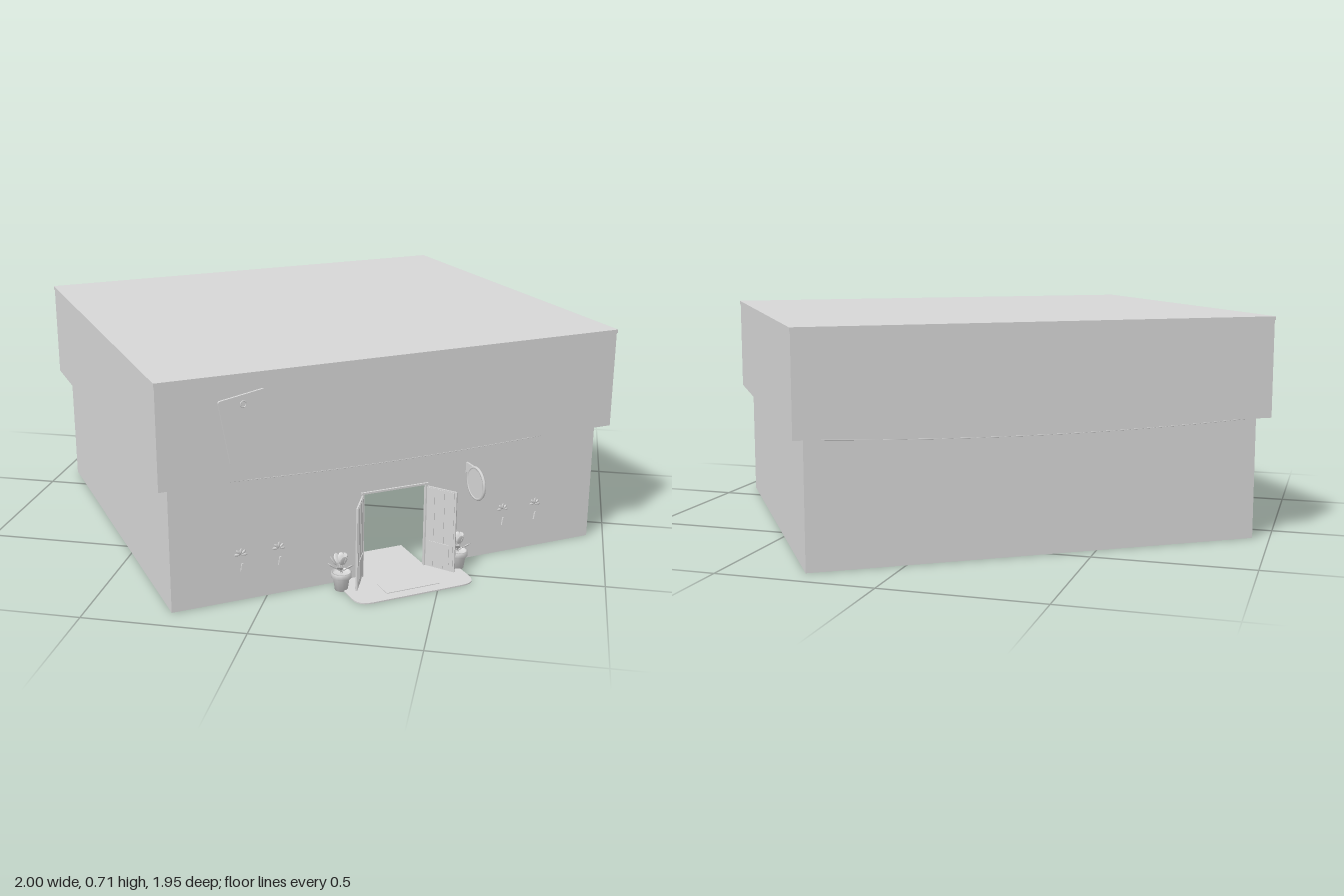
import * as THREE from 'three';

export function createModel() {
  // The whole building shares one plain light grey
  const grey = new THREE.MeshStandardMaterial({ color: 0xd6d6d6, side: THREE.DoubleSide });
  grey.name = 'plain light grey';

  const root = new THREE.Group();
  root.name = 'shop';
  root.rotation.y = THREE.MathUtils.degToRad(34);

  const add = (parent, name, geo, x = 0, y = 0, z = 0) => {
    const m = new THREE.Mesh(geo, grey);
    m.name = name;
    m.position.set(x, y, z);
    parent.add(m);
    return m;
  };
  const group = (parent, name, x = 0, y = 0, z = 0) => {
    const g = new THREE.Group();
    g.name = name;
    g.position.set(x, y, z);
    parent.add(g);
    return g;
  };
  const box = (w, h, d) => new THREE.BoxGeometry(w, h, d);

  // Half sizes of the lower and upper storeys, and key heights
  const LX = 0.72, LZ = 0.625, UX = 0.755, UZ = 0.66;
  const BAND = 0.395, TOP = 0.715, ROOF = 0.011, DOOR = 0.28, DW = 0.108;

  // Upper storey: open shell under a thin roof
  const shell = group(root, 'upperStorey');
  // Sides in order front, left, back, right; half width and distance of each storey
  const sides = [0, 1, 2, 3].map(i => (i % 2
    ? { w: UZ, d: UX, lw: LZ, ld: LX, r: i * Math.PI / 2 }
    : { w: UX, d: UZ, lw: LX, ld: LZ, r: i * Math.PI / 2 }));
  sides.forEach((s, i) => {
    const height = TOP - ROOF - BAND;
    const upper = new THREE.PlaneGeometry(s.w * 2, height);
    upper.translate(0, BAND + height / 2, s.d).rotateY(s.r);
    add(shell, 'upperWall', upper);

    // Flat soffit with mitred corners under the overhang
    const soffit = new THREE.Shape([[-s.w, -s.d], [s.w, -s.d], [s.lw, -s.ld], [-s.lw, -s.ld]]
      .map(q => new THREE.Vector2(...q)));
    const soffitGeo = new THREE.ShapeGeometry(soffit);
    soffitGeo.rotateX(-Math.PI / 2).translate(0, BAND, 0).rotateY(s.r);
    add(shell, 'soffit', soffitGeo);

    // Thin cord sagging along the top of the lower wall
    const sag = new THREE.QuadraticBezierCurve3(
      new THREE.Vector3(-s.lw, BAND - 0.003, s.ld + 0.002),
      new THREE.Vector3(0, BAND - 0.045, s.ld + 0.002),
      new THREE.Vector3(s.lw, BAND - 0.003, s.ld + 0.002));
    add(shell, 'saggingCord', new THREE.TubeGeometry(sag, 24, 0.0012, 4).rotateY(s.r));

    // Lower wall; the front one is notched for the doorway
    const shape = new THREE.Shape();
    shape.moveTo(-s.lw, 0);
    if (i === 0) {
      shape.lineTo(-DW, 0);
      shape.lineTo(-DW, DOOR);
      shape.lineTo(DW, DOOR);
      shape.lineTo(DW, 0);
    }
    shape.lineTo(s.lw, 0);
    shape.lineTo(s.lw, BAND);
    shape.lineTo(-s.lw, BAND);
    const lower = new THREE.ShapeGeometry(shape);
    lower.translate(0, 0, s.ld).rotateY(s.r);
    add(root, 'lowerWall', lower);
  });
  add(shell, 'roof', box(UX * 2 + 0.005, ROOF, UZ * 2 + 0.005), 0, TOP - ROOF / 2);

  // Rounded plate helper, extruded along z
  const plate = (w, h, r, depth) => {
    const s = new THREE.Shape(), a = w / 2, b = h / 2;
    s.moveTo(-a + r, -b);
    s.lineTo(a - r, -b);
    s.quadraticCurveTo(a, -b, a, -b + r);
    s.lineTo(a, b - r);
    s.quadraticCurveTo(a, b, a - r, b);
    s.lineTo(-a + r, b);
    s.quadraticCurveTo(-a, b, -a, b - r);
    s.lineTo(-a, -b + r);
    s.quadraticCurveTo(-a, -b, -a + r, -b);
    return new THREE.ExtrudeGeometry(s, { depth, bevelEnabled: false, curveSegments: 6 });
  };

  // Tilted tag hanging on the upper wall
  const tag = group(root, 'hangingTag', -0.49, 0.557, UZ + 0.004);
  tag.rotation.z = 0.175;
  add(tag, 'tagPlate', plate(0.143, 0.198, 0.008, 0.007));
  add(tag, 'tagEyelet', new THREE.TorusGeometry(0.009, 0.002, 6, 16), 0, 0.072, 0.008);

  // Paving outside, threshold inside and a doormat
  add(root, 'paving', plate(0.4, 0.175, 0.05, 0.004).rotateX(-Math.PI / 2), 0, 0, LZ + 0.0875);
  add(root, 'threshold', box(DW * 2, 0.004, 0.16), 0, 0.002, LZ - 0.08);
  add(root, 'doormat', box(0.18, 0.002, 0.07), 0, 0.005, LZ + 0.105);

  // Door frame
  add(root, 'doorLintel', box(DW * 2 + 0.012, 0.006, 0.012), 0, DOOR, LZ);
  for (const s of [-1, 1]) {
    add(root, 'doorJamb', box(0.006, DOOR, 0.012), s * DW, DOOR / 2, LZ);

    // Door leaf swung outwards, with strips and a kick plate on both faces
    const door = group(root, 'doorLeaf', s * DW, 0.005, LZ);
    door.rotation.y = -s * THREE.MathUtils.degToRad(56);
    add(door, 'doorPanel', box(0.108, 0.268, 0.005), s * 0.054, 0.134);
    for (const face of [-1, 1]) {
      for (let i = 0; i < 3; i++)
        add(door, 'doorStrip', box(0.027, 0.26, 0.002), s * (0.02 + i * 0.034), 0.134, face * 0.003);
      add(door, 'kickPlate', box(0.07, 0.065, 0.004), s * 0.054, 0.055, face * 0.004);
    }

    // Potted plant beside the door
    const pot = group(root, 'pottedPlant', s * 0.2, 0, 0.675);
    const profile = [[0, 0], [0.02, 0], [0.026, 0.042], [0.032, 0.042], [0.032, 0.058], [0.027, 0.058], [0.026, 0.05], [0, 0.05]]
      .map(q => new THREE.Vector2(...q));
    add(pot, 'pot', new THREE.LatheGeometry(profile, 14));
    for (let i = 0; i < 10; i++) {
      const leaf = new THREE.SphereGeometry(0.5, 7, 5);
      leaf.scale(0.024, 0.034, 0.005).translate(0, 0.043, 0);
      leaf.rotateX(0.3 + (i % 3) * 0.3).rotateY(i * 2.4);
      add(pot, 'leaf', leaf, 0, 0.058, 0);
      const stalk = new THREE.CylinderGeometry(0.0015, 0.0015, 0.04, 4);
      stalk.translate(0, 0.014, 0).rotateX(0.3 + (i % 3) * 0.3).rotateY(i * 2.4);
      add(pot, 'stalk', stalk, 0, 0.058, 0);
    }

    // Small sprigs on the wall
    for (const x of [0.385, 0.505]) {
      const sprig = group(root, 'wallSprig', s * x, 0.15, LZ + 0.005);
      for (let i = 0; i < 5; i++) {
        const petal = new THREE.SphereGeometry(0.5, 6, 4);
        petal.scale(0.02, 0.009, 0.006).translate(0.011, 0, 0).rotateZ(i * 0.8 - 0.1);
        add(sprig, 'petal', petal);
      }
      const stem = add(sprig, 'stem', box(0.005, 0.026, 0.006), 0.003, -0.042);
      stem.rotation.z = -0.15;
    }
  }

  // Round sign standing out from the wall on a bracket
  const sign = group(root, 'roundSign', 0.25, 0.28, 0.687);
  add(sign, 'signDisc', new THREE.CylinderGeometry(0.05, 0.05, 0.006, 28).rotateZ(Math.PI / 2));
  add(sign, 'signRim', new THREE.TorusGeometry(0.05, 0.005, 6, 28).rotateY(Math.PI / 2));
  const arm = new THREE.Shape([[0.065, 0.05], [0.065, 0.012], [0.045, 0.022], [0.005, 0.05]]
    .map(q => new THREE.Vector2(...q)));
  const armGeo = new THREE.ExtrudeGeometry(arm, { depth: 0.006, bevelEnabled: false });
  armGeo.translate(0, 0, -0.003).rotateY(Math.PI / 2);
  add(sign, 'signBracket', armGeo);

  const out = new THREE.Group();
  out.name = 'model';
  out.add(root);
  return out;
}
